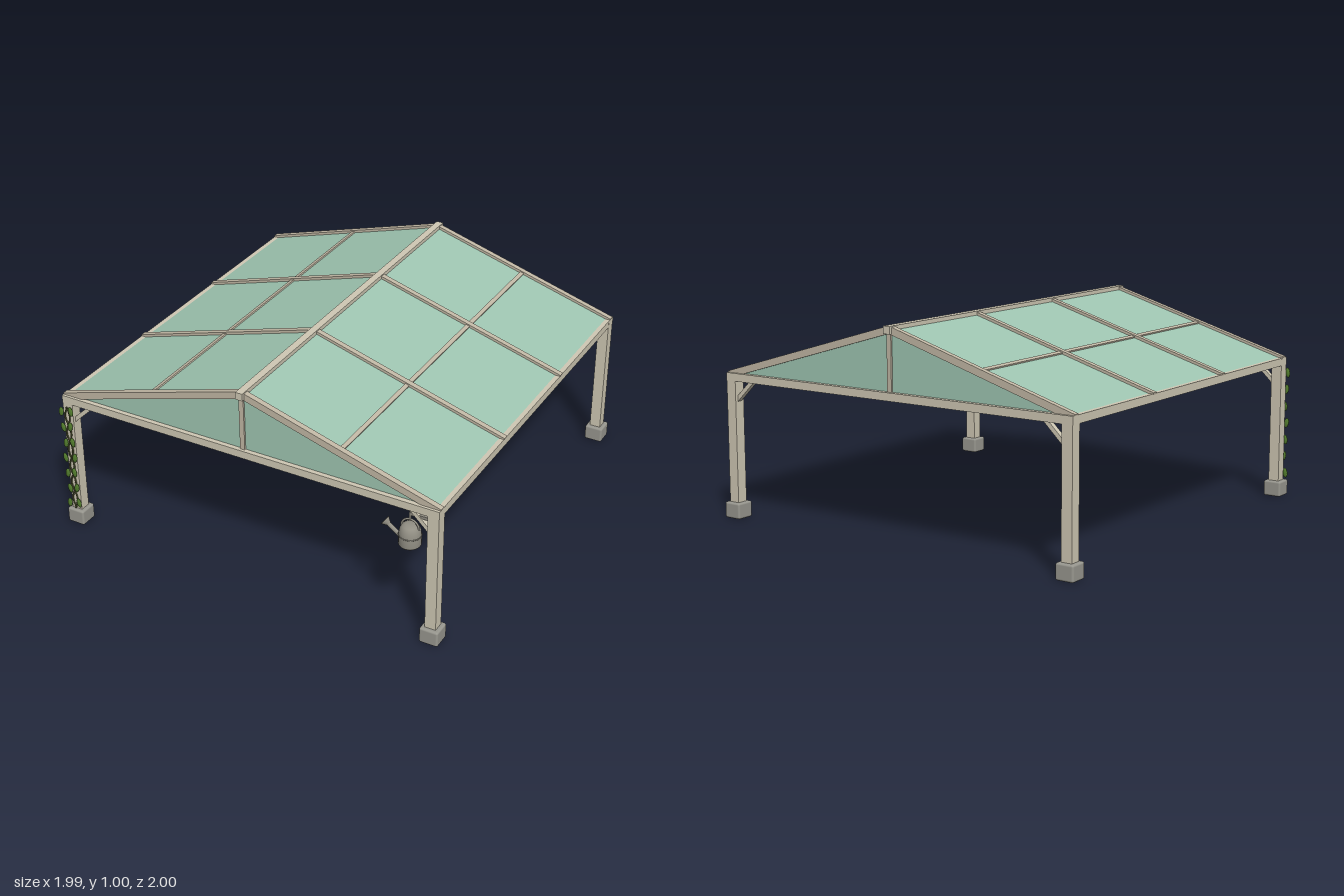
import * as THREE from 'three';
import { RoundedBoxGeometry } from 'three/addons/geometries/RoundedBoxGeometry.js';

const mat = (name, color) => Object.assign(new THREE.MeshStandardMaterial({ color }), { name });

export function createModel() {
  const model = new THREE.Group();
  model.name = 'pergola';
  const frame = mat('cream frame', 0xcfc8b4);
  const bars = mat('roof bars', 0xc2b8a5);
  const glass = mat('green glass', 0x9fc6b2);
  glass.side = THREE.DoubleSide;
  const stone = mat('stone', 0x98978f);
  const metal = mat('can metal', 0x928f84);
  const leafGreen = mat('leaf green', 0x55802f);
  const stemGreen = mat('vine stem', 0x5a6038);

  const add = (name, geo, material, x = 0, y = 0, z = 0, parent = model) => {
    const m = new THREE.Mesh(geo, material);
    m.name = name;
    m.position.set(x, y, z);
    parent.add(m);
    return m;
  };
  const box = (name, material, w, h, d, x, y, z) =>
    add(name, new THREE.BoxGeometry(w, h, d), material, x, y, z);
  // Bar lying in an xy plane between two points
  const bar = (name, material, x1, y1, x2, y2, thick, depth, z) => {
    const m = box(name, material, Math.hypot(x2 - x1, y2 - y1), thick, depth, (x1 + x2) / 2, (y1 + y2) / 2, z);
    m.rotation.z = Math.atan2(y2 - y1, x2 - x1);
    return m;
  };

  const P = 0.95; // post offset from the centre
  const roofY = (x) => 0.985 - 0.297 * Math.abs(x);

  // Posts, feet and corner braces
  for (const sx of [-1, 1]) {
    for (const sz of [-1, 1]) {
      box('post', frame, 0.054, 0.6, 0.054, sx * P, 0.375, sz * P);
      add('foot', new RoundedBoxGeometry(0.092, 0.078, 0.092, 2, 0.01), stone, sx * P, 0.041, sz * P);
      bar('brace', frame, sx * 0.935, 0.572, sx * 0.82, 0.682, 0.02, 0.025, sz * P);
    }
  }

  // Perimeter beams
  for (const s of [-1, 1]) {
    box('crossBeam', frame, 1.956, 0.038, 0.054, 0, 0.687, s * P);
    box('eaveBeam', frame, 0.054, 0.038, 1.846, s * P, 0.687, 0);
  }

  // Ridge, rafters, purlins and roof panes
  box('ridgeBeam', frame, 0.036, 0.036, 1.956, 0, 0.985, 0);
  for (const s of [-1, 1]) {
    for (const z of [-P, -P / 3, P / 3, P]) {
      bar('rafter', bars, 0, roofY(0), s * 0.975, roofY(0.975), 0.034, 0.028, z);
    }
    bar('purlin', bars, s * 0.476, roofY(0.476), s * 0.496, roofY(0.496), 0.022, 1.89, 0);
    bar('roofGlass', glass, 0, roofY(0), s * 0.957, roofY(0.957), 0.008, 1.89, 0);
  }

  // Glazed gables with king posts
  const triangle = new THREE.Shape([
    new THREE.Vector2(-0.94, 0.7), new THREE.Vector2(0.94, 0.7), new THREE.Vector2(0, 0.982),
  ]);
  for (const s of [-1, 1]) {
    const pane = new THREE.ExtrudeGeometry(triangle, { depth: 0.008, bevelEnabled: false });
    add('gableGlass', pane, glass, 0, 0, s * P - 0.004);
    box('kingPost', bars, 0.024, 0.28, 0.026, 0, 0.838, s * P);
  }

  // Climbing vine on the front right post
  const vine = new THREE.Group();
  vine.name = 'vine';
  model.add(vine);
  for (const phase of [0, Math.PI]) {
    const pts = [];
    for (let i = 0; i <= 24; i++) {
      const a = i * 0.8 + phase;
      pts.push(new THREE.Vector3(-0.953 + 0.013 * Math.sin(a), 0.085 + i * 0.0236, 0.982 + 0.003 * Math.cos(a)));
    }
    add('stem', new THREE.TubeGeometry(new THREE.CatmullRomCurve3(pts), 72, 0.004, 6), stemGreen, 0, 0, 0, vine);
  }
  const leafGeo = new THREE.SphereGeometry(1, 10, 8).scale(0.014, 0.025, 0.006);
  for (let i = 0; i < 7; i++) {
    for (const s of [-1, 1]) {
      const wob = 0.006 * Math.sin(i * 2.1 + s);
      const leaf = add('leaf', leafGeo, leafGreen, -0.953 + s * 0.022 + wob, 0.112 + i * 0.0855 + (s > 0 ? 0.012 : 0), 0.99, vine);
      leaf.rotation.z = s * (i % 2 ? -0.2 : 0.15);
    }
  }

  // Hook arm on the front left post
  box('hookArm', metal, 0.1, 0.014, 0.014, 0.875, 0.637, P);
  box('hookDrop', metal, 0.008, 0.05, 0.008, 0.829, 0.63, P);

  // Watering can: body, handles, spout and rose
  const can = new THREE.Group();
  can.name = 'wateringCan';
  can.position.set(0.829, 0.476, P);
  model.add(can);
  const profile = [[0, 0], [0.047, 0], [0.051, 0.006], [0.051, 0.05], [0.047, 0.08], [0.036, 0.1], [0.02, 0.106], [0, 0.106]];
  add('canBody', new THREE.LatheGeometry(profile.map(([x, y]) => new THREE.Vector2(x, y)), 24), metal, 0, 0, 0, can);
  add('canBand', new THREE.TorusGeometry(0.05, 0.003, 6, 24).rotateX(Math.PI / 2), metal, 0, 0.052, 0, can);
  add('canHandle', new THREE.TorusGeometry(0.042, 0.005, 8, 20, Math.PI), metal, 0, 0.088, 0, can);
  const spoutPath = new THREE.LineCurve3(new THREE.Vector3(-0.035, 0.022, 0), new THREE.Vector3(-0.112, 0.076, 0));
  add('spout', new THREE.TubeGeometry(spoutPath, 1, 0.01, 10), metal, 0, 0, 0, can);
  const rose = add('rose', new THREE.CylinderGeometry(0.024, 0.009, 0.026, 14), metal, -0.112, 0.077, 0, can);
  rose.rotation.z = 0.95;

  return model;
}
